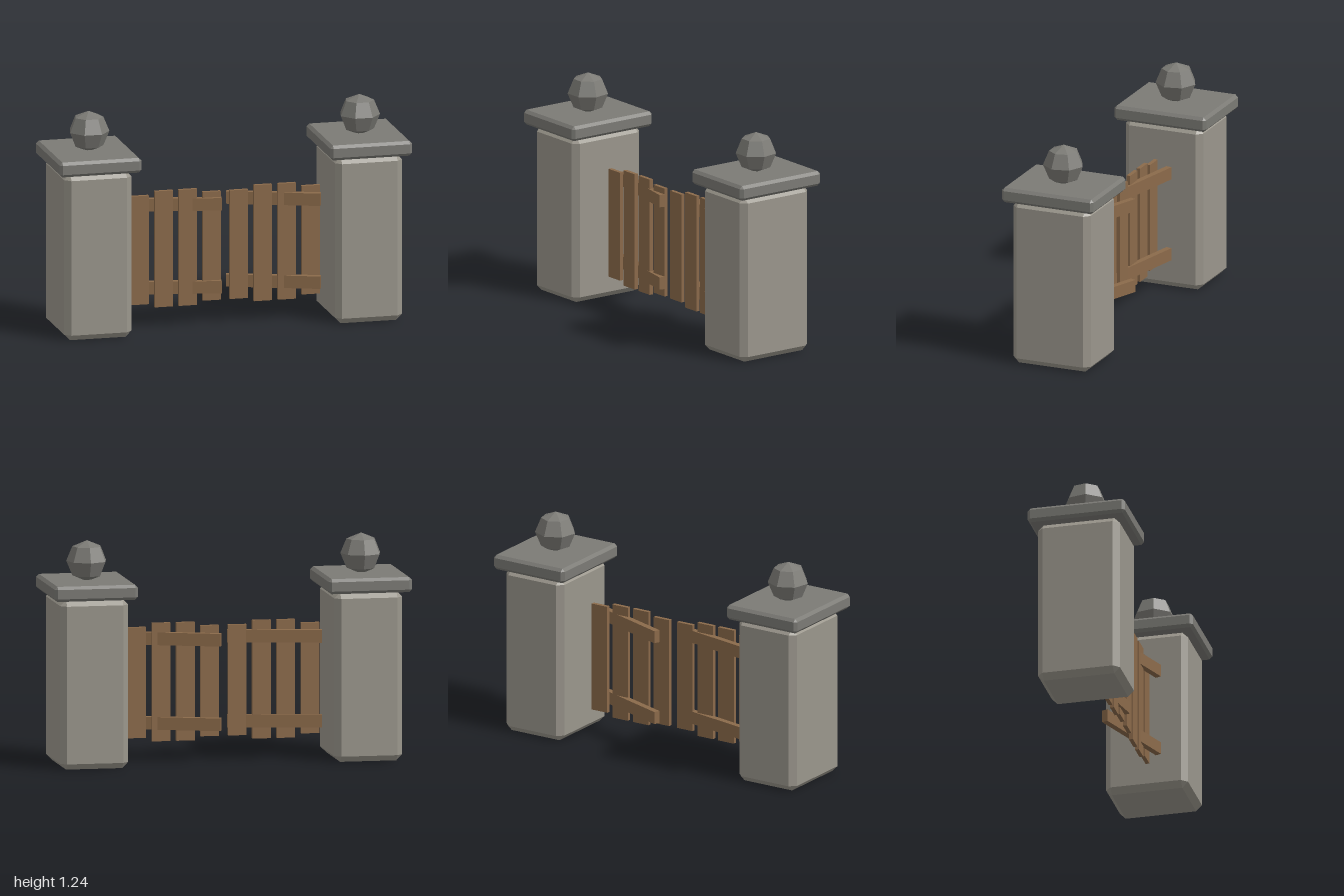
import * as THREE from 'three';
import { ConvexGeometry } from 'three/addons/geometries/ConvexGeometry.js';

const material = (color) => new THREE.MeshStandardMaterial({ color, flatShading: true });

// Box with every edge and corner cut off by c
function chamferBox(w, h, d, c) {
  const points = [];
  for (const sx of [-1, 1]) for (const sy of [-1, 1]) for (const sz of [-1, 1]) {
    const x = w / 2, y = h / 2, z = d / 2;
    points.push(
      new THREE.Vector3(sx * x, sy * (y - c), sz * (z - c)),
      new THREE.Vector3(sx * (x - c), sy * y, sz * (z - c)),
      new THREE.Vector3(sx * (x - c), sy * (y - c), sz * z),
    );
  }
  return new ConvexGeometry(points);
}

function add(parent, name, geometry, mat, x, y, z) {
  const mesh = new THREE.Mesh(geometry, mat);
  mesh.name = name;
  mesh.position.set(x, y, z);
  parent.add(mesh);
  return mesh;
}

export function createModel() {
  const model = new THREE.Group();
  model.name = 'gateway';
  const stone = material(0x9a968c);
  const darkStone = material(0x7b7a75);
  const wood = material(0x8b6a4a);

  // Stone posts with cap slab and seven-sided ball
  const postGeo = chamferBox(0.38, 0.94, 0.464, 0.033);
  const capGeo = chamferBox(0.465, 0.084, 0.55, 0.016);
  const ballGeo = new THREE.SphereGeometry(0.114, 7, 4, -Math.PI / 2);
  for (const [side, s] of [['right', -1], ['left', 1]]) {
    const post = new THREE.Group();
    post.name = side + 'Post';
    post.position.x = s * 0.767;
    add(post, 'pillar', postGeo, stone, 0, 0.47, 0);
    add(post, 'capSlab', capGeo, darkStone, 0, 0.981, 0);
    add(post, 'ball', ballGeo, darkStone, 0, 1.126, 0);
    model.add(post);
  }

  // Gate leaves: four upright planks, two skewed rails each
  const railGeo = new THREE.BoxGeometry(0.521, 0.07, 0.034);
  for (const [side, s, skew] of [['right', -1, 0.203], ['left', 1, 0.354]]) {
    const leaf = new THREE.Group();
    leaf.name = side + 'GateLeaf';
    leaf.position.x = s * 0.281;
    for (let i = 0; i < 4; i++) {
      const height = i === 0 || i === 3 ? 0.614 : 0.656;
      add(leaf, 'plank', new THREE.BoxGeometry(0.103, height, 0.022), wood,
        (i - 1.5) * 0.136, 0.44, 0.021);
    }
    for (const y of [0.211, 0.68]) {
      add(leaf, 'rail', railGeo, wood, 0, y, -0.005).rotation.y = -skew;
    }
    model.add(leaf);
  }
  return model;
}
